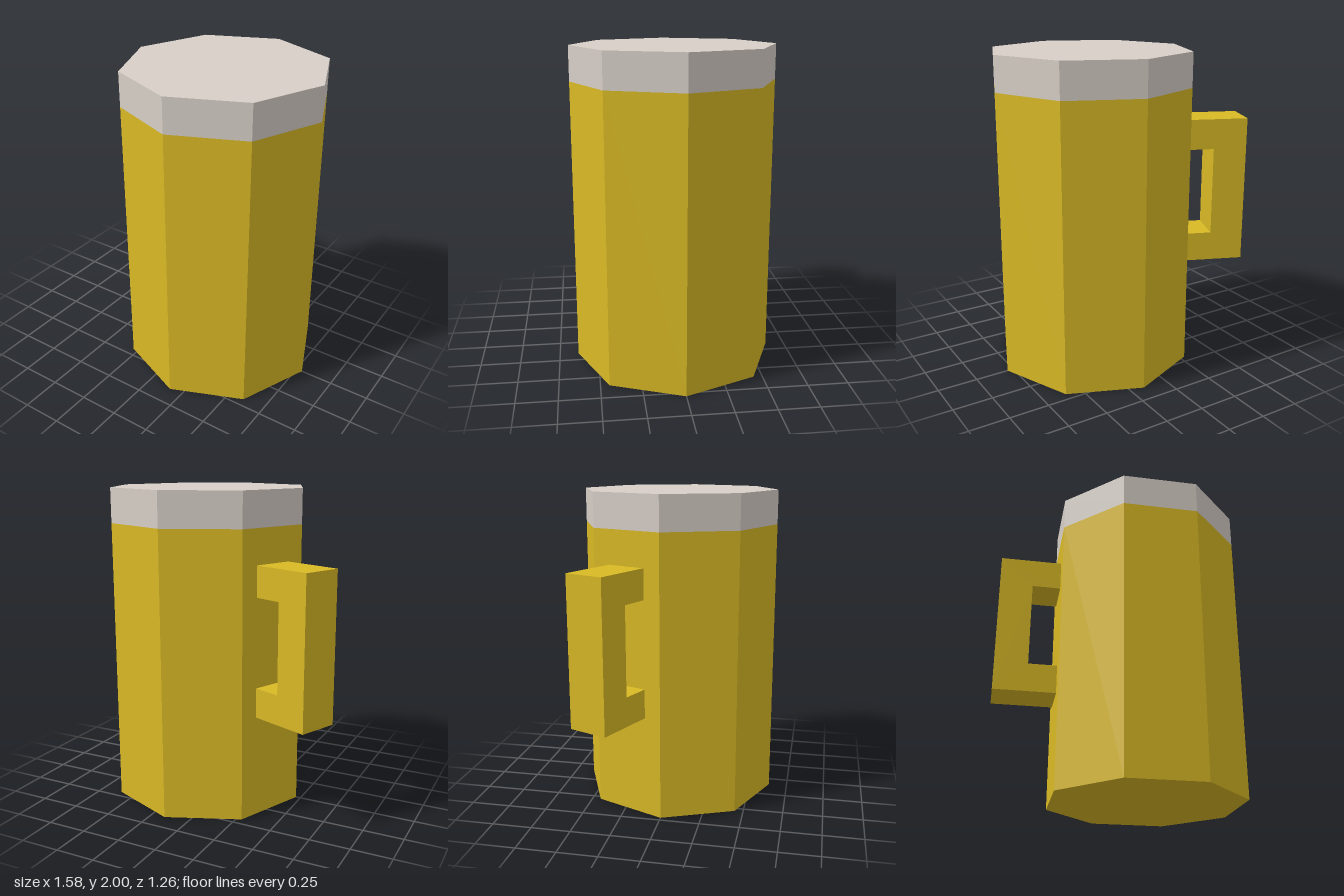
import * as THREE from 'three';

const SIDES = 8, RADIUS = 0.63, CENTRE_X = 0.16;
const FOAM_Y = 1.785, TOP_Y = 2;
const APOTHEM = RADIUS * Math.cos(Math.PI / SIDES);

const material = (name, color) => {
  const m = new THREE.MeshStandardMaterial({ color, flatShading: true });
  m.name = name;
  return m;
};

const polygon = (pairs) => pairs.map(([x, y]) => new THREE.Vector2(x, y));

export function createModel() {
  const group = new THREE.Group();
  group.name = 'mug';
  const yellow = material('yellow', 0xd9b925);
  const foamGrey = material('foam grey', 0xd7cfc7);

  const add = (name, geometry, mat) => {
    const mesh = new THREE.Mesh(geometry, mat);
    mesh.name = name;
    mesh.position.x = CENTRE_X;
    group.add(mesh);
    return mesh;
  };

  // Octagonal mug with a closed base
  add('mugBody', new THREE.LatheGeometry(
    polygon([[0, 0], [RADIUS, 0], [RADIUS, FOAM_Y]]), SIDES), yellow);

  // Pale band and flat top
  add('foam', new THREE.LatheGeometry(
    polygon([[RADIUS, FOAM_Y], [RADIUS, TOP_Y], [0, TOP_Y]]), SIDES), foamGrey);

  // C-shaped handle standing out from the back right face
  const width = 0.256, inner = 0.763, outer = 0.974;
  const profile = new THREE.Shape(polygon([
    [APOTHEM, 0.64], [outer, 0.64], [outer, 1.57], [APOTHEM, 1.57],
    [APOTHEM, 1.38], [inner, 1.38], [inner, 0.825], [APOTHEM, 0.825],
  ]));
  const handleGeometry = new THREE.ExtrudeGeometry(profile, { depth: width, bevelEnabled: false });
  handleGeometry.translate(0, 0, -width / 2);
  add('handle', handleGeometry, yellow).rotation.y = Math.PI * 7 / 8;

  return group;
}
